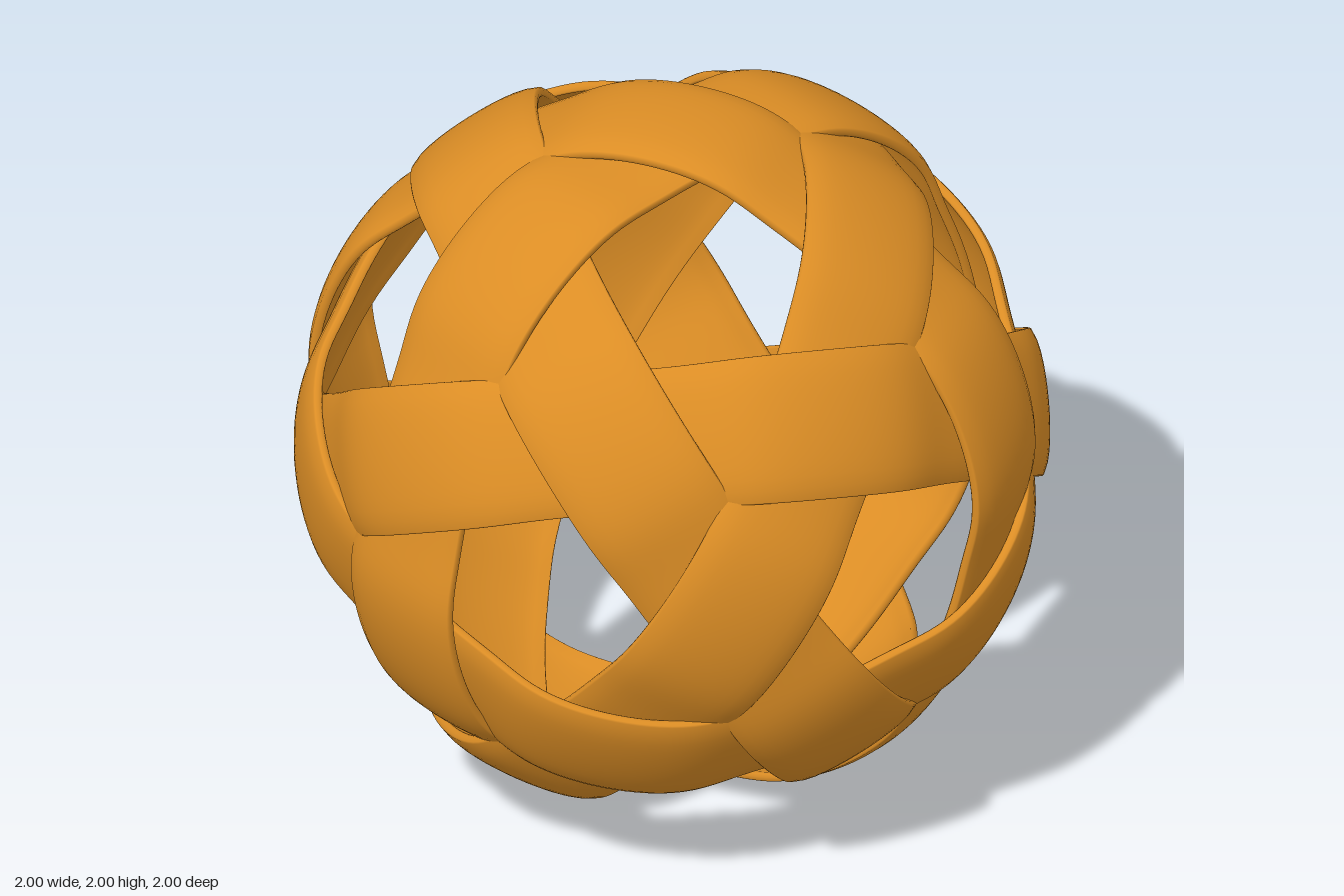
import * as THREE from 'three';

const HALF = 0.203;   // half the angular width of a strip
const THICK = 0.026;
const HIGH = 1;       // outer radius where a strip passes over
const LOW = 0.947;    // outer radius where it passes under

// Closed strip section: [angle across the strip, radial offset from the outer radius]
function stripSection() {
  const outer = [], inner = [];
  const n = 12;
  for (let i = 0; i <= n; i++) {
    const u = -1 + (2 * i) / n;
    const drop = 0.011 * u ** 6;
    const s = u * (HALF - 0.006);
    outer.push([s, -drop]);
    inner.unshift([s, -drop - THICK]);
  }
  // rounded rims
  const rim = (side) => [-0.015, -0.024, -0.033].map((d, i) => [side * (HALF - (i === 1 ? 0 : 0.002)), d]);
  return [...outer, ...rim(1), ...inner, ...rim(-1).reverse()];
}

// One woven ring around local y, over at angle 0 and alternating every 36 degrees
function ringGeometry() {
  const section = stripSection();
  const m = section.length, steps = 200, k = 1.5;
  const pos = [], index = [];
  for (let i = 0; i < steps; i++) {
    const t = (i / steps) * Math.PI * 2;
    const wave = Math.tanh(k * Math.cos(5 * t)) / Math.tanh(k);
    const base = (HIGH + LOW) / 2 + wave * (HIGH - LOW) / 2;
    section.forEach(([s, d], j) => {
      const r = base + d;
      pos.push(r * Math.cos(s) * Math.cos(t), r * Math.sin(s), r * Math.cos(s) * Math.sin(t));
      const a = i * m + j, b = i * m + (j + 1) % m;
      const c = ((i + 1) % steps) * m + j, e = ((i + 1) % steps) * m + (j + 1) % m;
      index.push(a, b, c, b, e, c);
    });
  }
  const g = new THREE.BufferGeometry();
  g.setAttribute('position', new THREE.Float32BufferAttribute(pos, 3));
  g.setIndex(index);
  g.computeVertexNormals();
  return g;
}

export function createModel() {
  const ball = new THREE.Group();
  ball.name = 'wovenBall';
  const rattan = new THREE.MeshStandardMaterial({ color: 0xdb8d25 });
  rattan.name = 'rattan';
  const geometry = ringGeometry();

  // Six great circles: a mirrored pair, turned through the three axes
  const phi = (1 + Math.sqrt(5)) / 2;
  const cycle = (v, n) => {
    const p = [v.x, v.y, v.z];
    return new THREE.Vector3(p[(3 - n) % 3], p[(4 - n) % 3], p[(5 - n) % 3]);
  };
  for (let n = 0; n < 3; n++) {
    for (const side of [1, -1]) {
      const axis = cycle(new THREE.Vector3(phi, -side, 0).normalize(), n);
      const start = cycle(new THREE.Vector3(0, 0, side), n);
      const ring = new THREE.Mesh(geometry, rattan);
      ring.name = `wovenStrip${n * 2 + (side > 0 ? 1 : 2)}`;
      const basis = new THREE.Matrix4().makeBasis(start, axis, start.clone().cross(axis));
      ring.quaternion.setFromRotationMatrix(basis);
      ring.position.y = 1;
      ball.add(ring);
    }
  }
  return ball;
}
